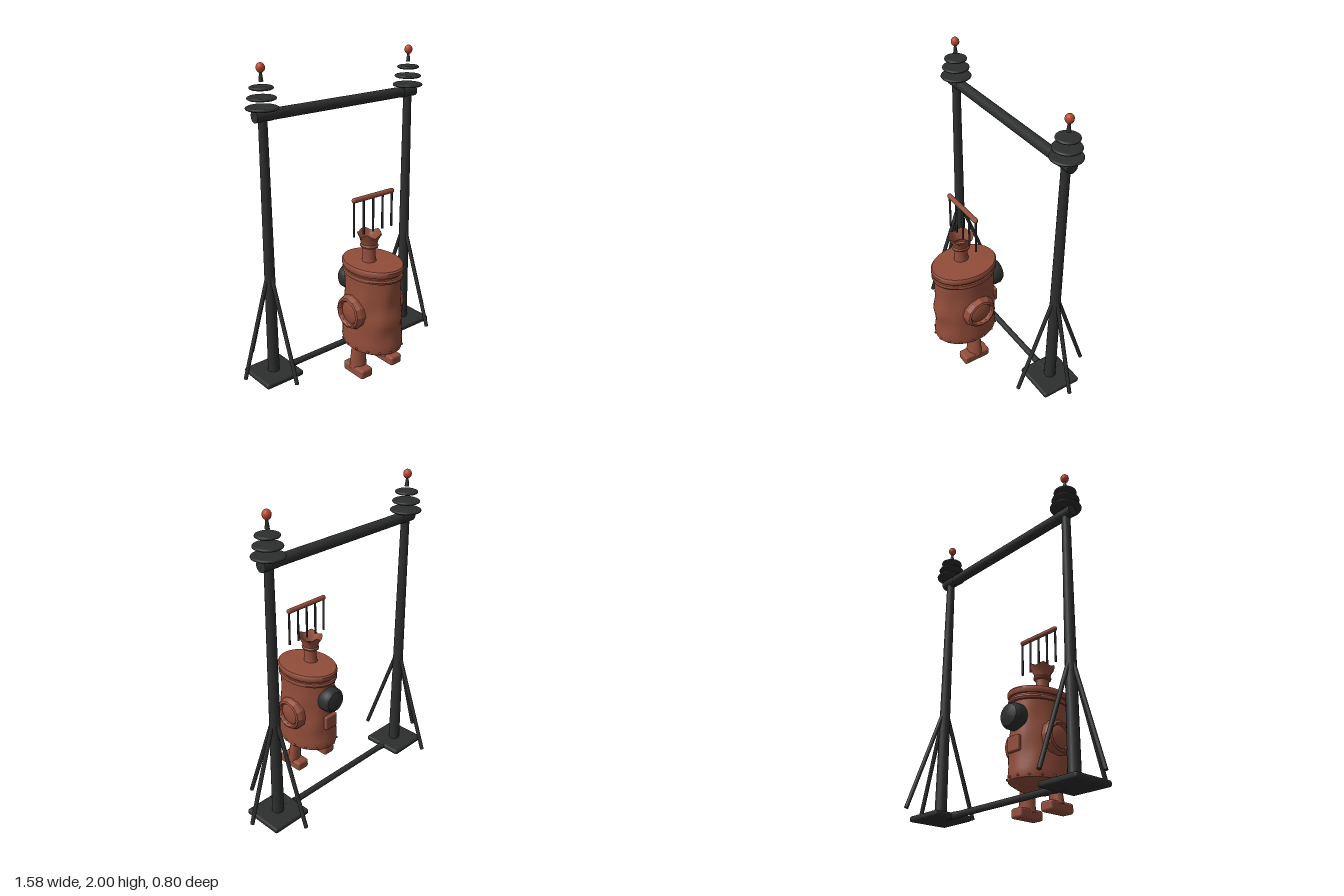
import * as THREE from 'three';
import { toCreasedNormals } from 'three/addons/utils/BufferGeometryUtils.js';
import { RoundedBoxGeometry } from 'three/addons/geometries/RoundedBoxGeometry.js';

const V = (x, y, z) => new THREE.Vector3(x, y, z);

export function createModel() {
  const iron = new THREE.MeshStandardMaterial({ color: 0x2d2e2e });
  const copper = new THREE.MeshStandardMaterial({ color: 0x924d3a, side: THREE.DoubleSide });
  const ember = new THREE.MeshStandardMaterial({ color: 0xbb472e });
  iron.name = 'dark iron';
  copper.name = 'copper';
  ember.name = 'red lamp';

  const model = new THREE.Group();
  model.name = 'boilerOnFrame';

  const add = (parent, name, geometry, material, x = 0, y = 0, z = 0) => {
    const mesh = new THREE.Mesh(geometry, material);
    mesh.name = name;
    mesh.position.set(x, y, z);
    parent.add(mesh);
    return mesh;
  };
  // Tapered round bar between two points
  const rod = (parent, name, a, b, rA, rB, material, sides = 12) => {
    const d = b.clone().sub(a);
    const mesh = add(parent, name, new THREE.CylinderGeometry(rB, rA, d.length(), sides), material);
    mesh.position.copy(a).add(b).multiplyScalar(0.5);
    mesh.quaternion.setFromUnitVectors(V(0, 1, 0), d.normalize());
    return mesh;
  };
  const lathe = (pts, sides = 32) =>
    new THREE.LatheGeometry(pts.map(([r, y]) => new THREE.Vector2(r, y)), sides);
  const creased = (g, angle = 0.6) => toCreasedNormals(g, angle);

  // ---- Iron frame ----
  const frame = new THREE.Group();
  frame.name = 'frame';
  frame.position.z = -0.135;
  model.add(frame);

  rod(frame, 'groundBar', V(-0.5, 0.03, 0), V(0.5, 0.03, 0), 0.02, 0.02, iron);
  rod(frame, 'crossBeam', V(-0.6, 1.702, 0), V(0.6, 1.702, 0), 0.034, 0.034, iron, 16);

  for (const s of [-1, 1]) {
    const tower = new THREE.Group();
    tower.name = s > 0 ? 'leftTower' : 'rightTower';
    tower.position.x = s * 0.565;
    frame.add(tower);

    add(tower, 'basePlate', new RoundedBoxGeometry(0.275, 0.036, 0.275, 2, 0.014), iron, 0, 0.03, 0);
    rod(tower, 'groundBarSocket', V(-s * 0.13, 0.03, 0), V(-s * 0.19, 0.03, 0), 0.024, 0.02, iron);
    rod(tower, 'post', V(0, 0.04, 0), V(0, 1.68, 0), 0.038, 0.027, iron, 16);
    rod(tower, 'beamCollar', V(-0.055, 1.702, 0), V(0.055, 1.702, 0), 0.036, 0.036, iron, 16);

    // Three splayed struts: outward, forward and backward
    for (const [dx, dz] of [[s, 0], [0, 1], [0, -1]]) {
      rod(tower, 'strut', V(dx * 0.015, 0.72, dz * 0.015),
        V(dx * 0.211, 0.06, dz * 0.256), 0.013, 0.013, iron, 10);
    }

    // Stacked insulator discs with a lamp on top
    [[1.745, 0.097], [1.802, 0.086], [1.86, 0.071]].forEach(([y, r]) => {
      add(tower, 'insulatorDisc', lathe([
        [0, -0.009], [r - 0.01, -0.009], [r - 0.002, -0.005], [r, 0],
        [r - 0.002, 0.005], [r - 0.01, 0.009], [0, 0.009]]), iron, 0, y, 0);
    });
    add(tower, 'lampStem', new THREE.CylinderGeometry(0.007, 0.014, 0.055, 12), iron, 0, 1.922, 0);
    const lamp = add(tower, 'lamp', new THREE.SphereGeometry(0.026, 20, 14), ember, 0, 1.971, 0);
    lamp.scale.y = 1.12;
  }

  // ---- Copper boiler ----
  const boiler = new THREE.Group();
  boiler.name = 'boiler';
  boiler.position.z = 0.175;
  model.add(boiler);

  // Oval dented shell; profile radii are fractions of the half depth
  const OVAL = 0.78;
  const profile = [[0, 0.15], [0.13, 0.15], [0.17, 0.165], [0.214, 0.19], [0.219, 0.21]];
  for (let i = 1; i <= 12; i++) profile.push([0.219 - 0.018 * i / 12, 0.21 + 0.47 * i / 12]);
  const shell = lathe(profile, 48);
  const p = shell.attributes.position;
  for (let i = 0; i < p.count; i++) {
    const x = p.getX(i), y = p.getY(i), z = p.getZ(i);
    const a = Math.atan2(x, z);
    const wall = THREE.MathUtils.smoothstep(y, 0.19, 0.3) * (1 - THREE.MathUtils.smoothstep(y, 0.58, 0.68));
    const dent = 0.025 * Math.sin(3 * a + 9 * y) * Math.sin(5 * a - 21 * y);
    const belly = 0.05 * Math.max(0, Math.cos(a)) * Math.exp(-(((y - 0.41) / 0.05) ** 2));
    const k = 1 + wall * (dent + belly - 0.015);
    p.setXYZ(i, x * k * OVAL, y, z * k);
  }
  add(boiler, 'shell', creased(shell, 0.45), copper);

  // Rim flange, gap and domed lid
  const oval = (name, pts) => {
    const g = lathe(pts, 48);
    g.scale(OVAL - 0.02, 1, 1);
    return add(boiler, name, creased(g), copper);
  };
  oval('rimFlange', [[0.19, 0.673], [0.216, 0.677], [0.221, 0.69], [0.216, 0.703], [0.19, 0.708]]);
  oval('lidSeat', [[0.205, 0.7], [0.205, 0.725]]);
  oval('lid', [[0.19, 0.715], [0.217, 0.717], [0.223, 0.73], [0.223, 0.748], [0.215, 0.759],
    [0.13, 0.764], [0, 0.77]]);

  // Rivets around the lower edge
  for (let i = 0; i < 16; i++) {
    const a = (i + 0.5) * Math.PI / 8;
    add(boiler, 'rivet', new THREE.SphereGeometry(0.008, 8, 6), copper,
      Math.sin(a) * 0.219 * OVAL, 0.205, Math.cos(a) * 0.219);
  }

  // Torn open chimney
  const chimney = lathe([[0.05, 0.755], [0.043, 0.8], [0.043, 0.855], [0.058, 0.86], [0.061, 0.87],
    [0.054, 0.88], [0.06, 0.905], [0.083, 0.953]], 20);
  const c = chimney.attributes.position;
  for (let i = 0; i < c.count; i++) {
    if (c.getY(i) > 0.94) {
      const a = Math.atan2(c.getX(i), c.getZ(i));
      c.setY(i, c.getY(i) + 0.012 * Math.sin(5 * a) - 0.004);
    }
  }
  chimney.scale(0.9, 1, 1);
  add(boiler, 'chimney', creased(chimney), copper, -0.03, 0, 0);

  // Round side hatches
  for (const s of [-1, 1]) {
    const hatch = new THREE.Group();
    hatch.name = s > 0 ? 'leftHatch' : 'rightHatch';
    hatch.position.set(s * 0.15, 0.445, -0.012);
    hatch.rotation.z = -s * Math.PI / 2;
    boiler.add(hatch);
    add(hatch, 'hatchRing', creased(lathe([[0.113, -0.01], [0.113, 0.022], [0.1, 0.048], [0.086, 0.054],
      [0.077, 0.044], [0.074, 0.025]], 12), 0.4), copper);
    add(hatch, 'hatchCover', lathe([[0.078, 0.026], [0.06, 0.036], [0.035, 0.042], [0, 0.044]], 24), copper);
  }

  // Legs and boots
  for (const s of [-1, 1]) {
    const leg = new THREE.Group();
    leg.name = s > 0 ? 'leftLeg' : 'rightLeg';
    leg.position.x = s * 0.127;
    boiler.add(leg);
    const thigh = rod(leg, 'shin', V(-s * 0.015, 0.22, 0), V(0, 0.045, 0.01), 0.033, 0.041, copper, 12);
    thigh.scale.z = 1.4;
    add(leg, 'boot', new RoundedBoxGeometry(0.092, 0.064, 0.19, 2, 0.016), copper, 0, 0.032, 0.01);
  }

  // Rounded iron drum on the back
  const drum = add(boiler, 'backDrum', creased(lathe([[0, 0], [0.078, 0], [0.085, 0.012], [0.085, 0.065],
    [0.07, 0.088], [0.04, 0.1], [0, 0.103]], 28)), iron, 0, 0.57, -0.175);
  drum.rotation.x = -Math.PI / 2;
  add(boiler, 'backPatch', new RoundedBoxGeometry(0.1, 0.1, 0.03, 2, 0.01), copper, 0, 0.4, -0.215);

  // Hanging rake above the chimney
  const rake = new THREE.Group();
  rake.name = 'rake';
  boiler.add(rake);
  const bar = add(rake, 'rakeBar', new THREE.CapsuleGeometry(0.016, 0.3, 6, 14), copper, 0, 1.183, 0);
  bar.rotation.z = Math.PI / 2;
  for (let i = -2; i <= 2; i++) {
    rod(rake, 'rakeTine', V(i * 0.076, 0.95, 0), V(i * 0.076, 1.18, 0), 0.007, 0.007, iron, 8);
  }

  return model;
}
